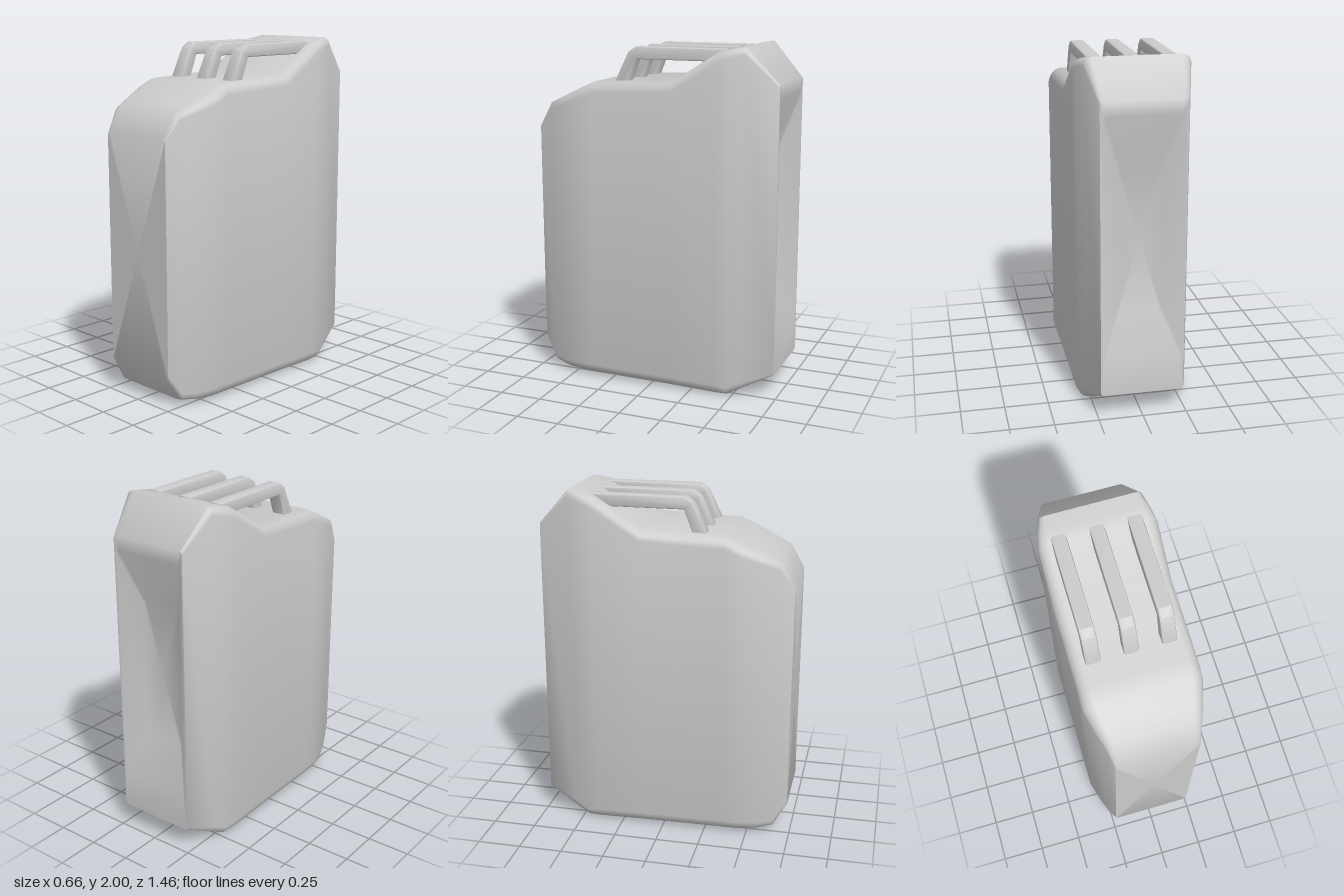
import * as THREE from 'three';
import { toCreasedNormals } from 'three/addons/utils/BufferGeometryUtils.js';

const CORNER_STEPS = 3;

// Rounded rectangle ring at depth z, counter-clockwise as seen from the front
function ring(z, w, y0, y1, r) {
  const pts = [];
  const corners = [[w - r, y0 + r, -90], [w - r, y1 - r, 0], [-w + r, y1 - r, 90], [-w + r, y0 + r, 180]];
  for (const [cx, cy, start] of corners) {
    for (let i = 0; i <= CORNER_STEPS; i++) {
      const a = THREE.MathUtils.degToRad(start + (90 * i) / CORNER_STEPS);
      pts.push([cx + r * Math.cos(a), cy + r * Math.sin(a), z]);
    }
  }
  return pts;
}

// Skin a list of rings and close both ends with fans
function loft(sections) {
  const rings = sections.map((s) => ring(...s));
  const n = rings[0].length;
  const pos = rings.flat(2);
  const index = [];
  const last = rings.length - 1;
  const centre = ([z, , y0, y1]) => [0, (y0 + y1) / 2, z];
  pos.push(...centre(sections[0]), ...centre(sections[last]));
  const frontC = rings.length * n;
  for (let i = 0; i < n; i++) {
    const j = (i + 1) % n;
    index.push(frontC, i, j);
    for (let k = 0; k < last; k++) {
      const a = k * n + i, b = k * n + j;
      index.push(a, a + n, b, b, a + n, b + n);
    }
    index.push(last * n + i, frontC + 1, last * n + j);
  }
  const g = new THREE.BufferGeometry();
  g.setAttribute('position', new THREE.Float32BufferAttribute(pos, 3));
  g.setIndex(index);
  return toCreasedNormals(g, 0.8);
}

export function createModel() {
  const group = new THREE.Group();
  const grey = new THREE.MeshStandardMaterial({ color: 0xcccccc });
  grey.name = 'light grey';

  // Can body from front to back, ending in the dished back panel
  // columns: z, half width, bottom, top, corner radius
  const body = new THREE.Mesh(loft([
    [0.73, 0.235, 0.18, 1.51, 0.02],
    [0.65, 0.262, 0.04, 1.645, 0.04],
    [0.56, 0.294, 0.02, 1.685, 0.05],
    [0.44, 0.328, 0.018, 1.74, 0.06],
    [0.35, 0.328, 0.017, 1.78, 0.06],
    [-0.13, 0.328, 0.012, 1.80, 0.06],
    [-0.40, 0.328, 0.006, 1.97, 0.06],
    [-0.47, 0.313, 0.005, 1.985, 0.05],
    [-0.55, 0.29, 0.045, 2.0, 0.045],
    [-0.73, 0.235, 0.14, 1.80, 0.02],
    [-0.73, 0.22, 0.36, 1.72, 0.02],
    [-0.63, 0.12, 0.60, 1.42, 0.02],
  ]), grey);
  body.name = 'canBody';
  group.add(body);

  // Three parallel carrying handles, profile drawn as (z, y)
  const bevel = 0.012;
  const profile = new THREE.Shape([
    [0.222, 1.74], [0.222, 1.79], [0.148, 1.94], [0.108, 1.968], [-0.42, 1.968],
    [-0.42, 1.922], [0.115, 1.922], [0.165, 1.79], [0.165, 1.74],
  ].map(([z, y]) => new THREE.Vector2(z, y)));
  const width = 0.083;
  const bar = new THREE.ExtrudeGeometry(profile, {
    depth: width - 2 * bevel, bevelEnabled: true, bevelSize: bevel, bevelThickness: bevel, bevelSegments: 2,
  });
  bar.translate(0, 0, -width / 2 + bevel);
  bar.rotateY(-Math.PI / 2);
  const barGeometry = toCreasedNormals(bar, 0.6);
  const names = ['rightHandle', 'middleHandle', 'leftHandle'];
  names.forEach((name, i) => {
    const handle = new THREE.Mesh(barGeometry, grey);
    handle.name = name;
    handle.position.x = (i - 1) * 0.207;
    group.add(handle);
  });

  return group;
}
